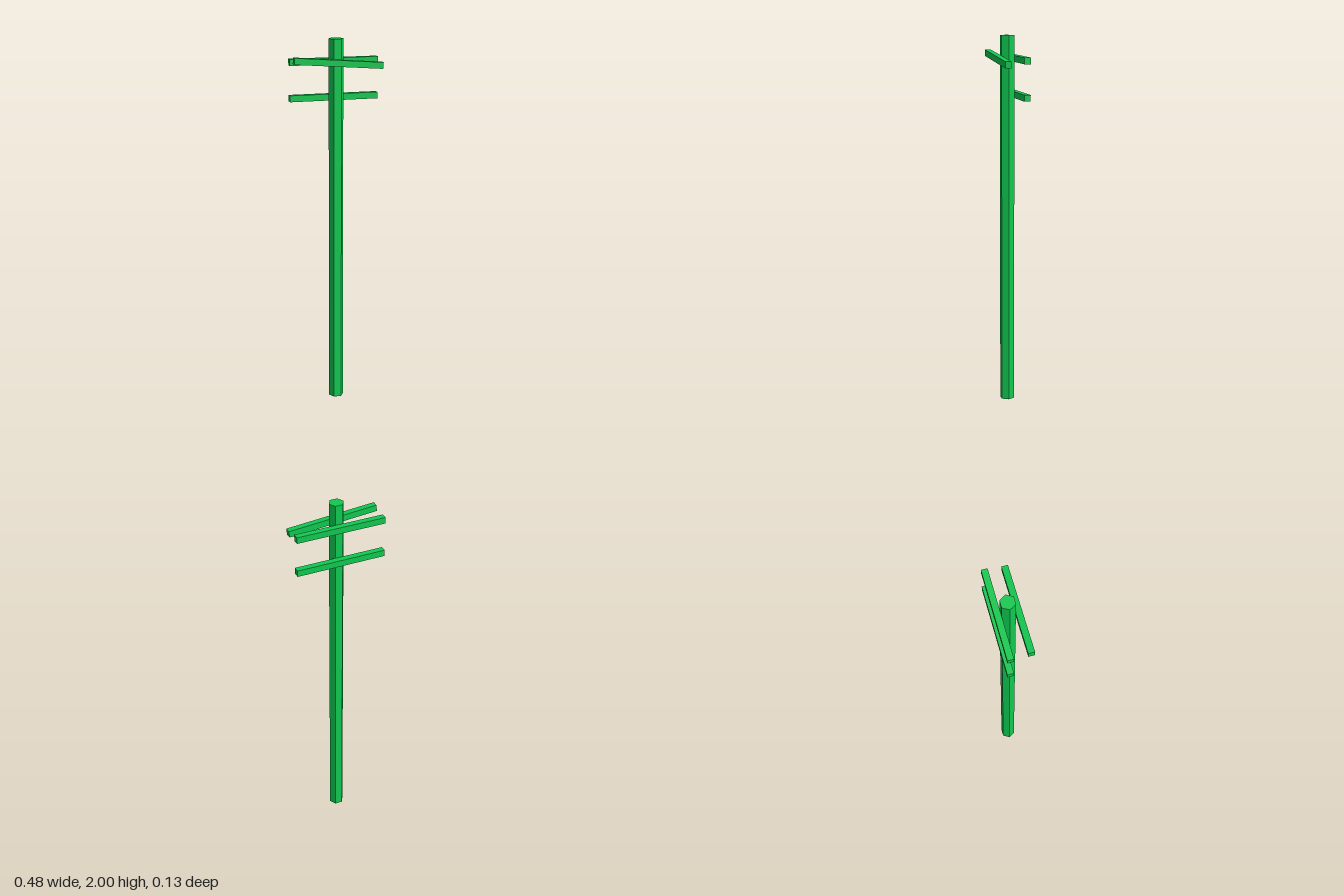
import * as THREE from 'three';

export function createModel() {
  const group = new THREE.Group();
  group.name = 'utilityPole';
  const material = new THREE.MeshStandardMaterial({ color: 0x10c850, flatShading: true });

  // Six-sided pole, corners pointing along x
  const poleGeometry = new THREE.CylinderGeometry(0.04, 0.04, 2, 6);
  poleGeometry.rotateY(Math.PI / 6);
  const pole = new THREE.Mesh(poleGeometry, material);
  pole.name = 'pole';
  pole.position.y = 1;
  group.add(pole);

  // Crossarms: two level ones behind the pole, one tilted in front
  const armGeometry = new THREE.BoxGeometry(0.48, 0.034, 0.033);
  const addArm = (name, y, z, tilt = 0) => {
    const arm = new THREE.Mesh(armGeometry, material);
    arm.name = name;
    arm.position.set(0, y, z);
    arm.rotation.z = tilt;
    group.add(arm);
  };
  addArm('upperBackCrossarm', 1.877, -0.0505);
  addArm('lowerBackCrossarm', 1.687, -0.0505);
  addArm('tiltedFrontCrossarm', 1.877, 0.05, -0.08);

  return group;
}
